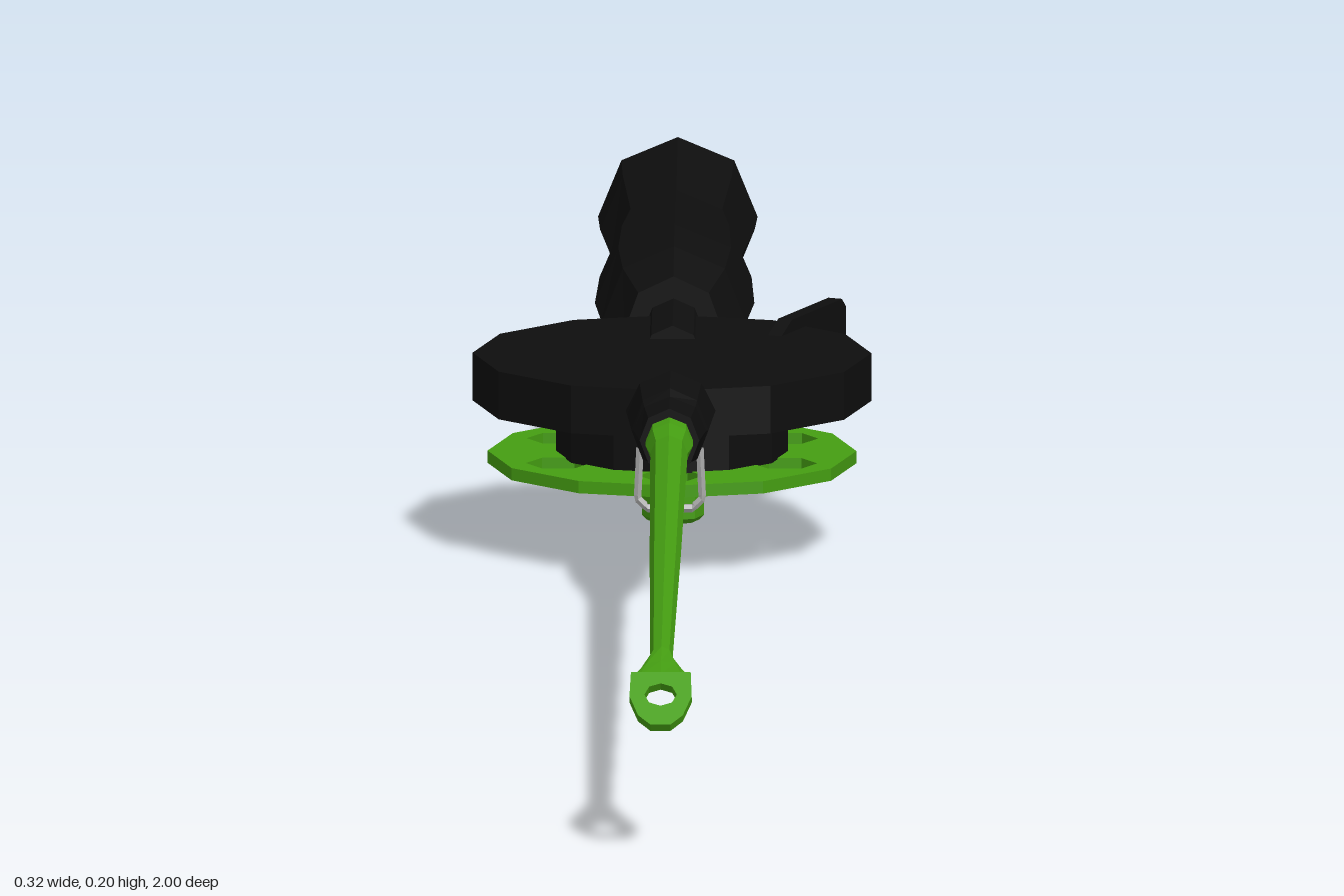
import * as THREE from 'three';

const paint = (name, color) => {
  const m = new THREE.MeshStandardMaterial({ color, flatShading: true });
  m.name = name;
  return m;
};

// Faceted tube along z from sections [z, centreY, radiusX, radiusY], z increasing
function loft(sections, sides) {
  const pos = [], idx = [];
  for (const [z, y, rx, ry] of sections)
    for (let i = 0; i < sides; i++) {
      const a = (i / sides) * Math.PI * 2;
      pos.push(Math.sin(a) * rx, y + Math.cos(a) * ry, z);
    }
  const last = sections.length - 1;
  for (let s = 0; s < last; s++)
    for (let i = 0; i < sides; i++) {
      const j = (i + 1) % sides, a = s * sides + i, b = s * sides + j;
      idx.push(a, a + sides, b, b, a + sides, b + sides);
    }
  for (let i = 1; i < sides - 1; i++) {
    const e = last * sides;
    idx.push(0, i, i + 1, e, e + i + 1, e + i);
  }
  const g = new THREE.BufferGeometry();
  g.setAttribute('position', new THREE.Float32BufferAttribute(pos, 3));
  g.setIndex(idx);
  const flat = g.toNonIndexed();
  flat.computeVertexNormals();
  return flat;
}

// Regular polygon outline
function polygon(r, sides, cx = 0, cy = 0) {
  return Array.from({ length: sides }, (_, i) => {
    const a = (i / sides) * Math.PI * 2;
    return new THREE.Vector2(cx + Math.cos(a) * r, cy + Math.sin(a) * r);
  });
}

// Flat plate lying in xz (shape y becomes z), with its top at y = 0
const plate = (shape, depth) =>
  new THREE.ExtrudeGeometry(shape, { depth, bevelEnabled: false }).rotateX(Math.PI / 2);

export function createModel() {
  const model = new THREE.Group();
  const black = paint('black plastic', 0x0e0e0e);
  const green = paint('green plastic', 0x459e12);
  const metal = paint('grey wire', 0xa8a8a8);
  const reelZ = -0.322;

  const add = (name, geometry, material, x = 0, y = 0, z = 0) => {
    const mesh = new THREE.Mesh(geometry, material);
    mesh.name = name;
    mesh.position.set(x, y, z);
    model.add(mesh);
    return mesh;
  };

  // Grip and the neck joining it to the reel
  add('handle', loft([
    [-1, 0.14, 0.058, 0.06], [-0.985, 0.14, 0.064, 0.065], [-0.93, 0.14, 0.062, 0.063],
    [-0.82, 0.14, 0.052, 0.054], [-0.73, 0.14, 0.061, 0.059], [-0.62, 0.14, 0.064, 0.064],
    [-0.54, 0.14, 0.058, 0.062], [-0.495, 0.14, 0.04, 0.046],
  ], 8), black);
  add('handleNeck', loft([[-0.51, 0.142, 0.024, 0.026], [-0.38, 0.142, 0.024, 0.026]], 8), black);

  // Reel housing: a shallow cup open at the bottom
  const cup = [[0, 0.148], [0.15, 0.148], [0.15, 0.118], [0.16, 0.118], [0.16, 0.157], [0, 0.157]]
    .map(([x, y]) => new THREE.Vector2(x, y));
  add('reelHousing', new THREE.LatheGeometry(cup, 12), black, 0, 0, reelZ);

  // Spool: upper flange, hub and pierced lower flange
  add('upperFlange', new THREE.CylinderGeometry(0.147, 0.147, 0.008, 12), green, 0, 0.124, reelZ);
  add('spoolHub', new THREE.CylinderGeometry(0.093, 0.093, 0.045, 12), black, 0, 0.0985, reelZ);
  const disc = new THREE.Shape(polygon(0.148, 12));
  for (let i = 0; i < 5; i++) {
    const a = -Math.PI / 2 + ((i + 1) / 6) * Math.PI * 2;
    disc.holes.push(new THREE.Path(polygon(0.026, 6, Math.cos(a) * 0.105, Math.sin(a) * 0.105)));
  }
  add('lowerFlange', plate(disc, 0.01), green, 0, 0.077, reelZ);
  add('spoolScrew', new THREE.CylinderGeometry(0.011, 0.011, 0.006, 8), black, 0, 0.066, reelZ);

  // Winding knob
  const knob = [[0, 0], [0.021, 0], [0.025, 0.004], [0.025, 0.062], [0.022, 0.068], [0, 0.068]]
    .map(([x, y]) => new THREE.Vector2(x, y));
  add('windingKnob', new THREE.LatheGeometry(knob, 8), green, 0, 0, -0.43);

  // Brake lever: upright tab with clipped corners, angled out behind the housing
  const tab = new THREE.Shape([
    [0, 0.118], [0.115, 0.118], [0.125, 0.126], [0.125, 0.159], [0.117, 0.167], [0.02, 0.167], [0, 0.157],
  ].map(([x, y]) => new THREE.Vector2(x, y)));
  const lever = add('brakeLever',
    new THREE.ExtrudeGeometry(tab, { depth: 0.012, bevelEnabled: false }).translate(0, 0, -0.006),
    black, 0.082, 0, -0.395);
  lever.rotation.y = Math.atan2(0.112, 0.05);

  // Socket holding the rod
  add('rodSocket', loft([
    [-0.2, 0.14, 0.034, 0.024], [-0.165, 0.14, 0.036, 0.03], [-0.15, 0.14, 0.035, 0.036],
    [-0.085, 0.14, 0.031, 0.034], [-0.075, 0.141, 0.029, 0.028], [-0.035, 0.141, 0.024, 0.026],
  ], 8), black);

  // Wire line guide under the socket
  const wire = new THREE.CurvePath();
  const bends = [[-0.024, 0.125], [-0.026, 0.083], [-0.018, 0.075], [0.018, 0.075], [0.026, 0.083], [0.024, 0.125]]
    .map(([x, y]) => new THREE.Vector3(x, y, 0));
  for (let i = 1; i < bends.length; i++) wire.add(new THREE.LineCurve3(bends[i - 1], bends[i]));
  add('lineGuide', new THREE.TubeGeometry(wire, 40, 0.0035, 6), metal, 0, 0, -0.09);

  // Rod with its collar, flattening into the tip
  add('rod', loft([
    [-0.05, 0.141, 0.019, 0.019], [-0.012, 0.141, 0.019, 0.019], [0.02, 0.141, 0.015, 0.015],
    [0.45, 0.14, 0.0125, 0.0125], [0.87, 0.139, 0.009, 0.009],
    [0.91, 0.138, 0.016, 0.006], [0.95, 0.137, 0.024, 0.004],
  ], 8), green);

  // Bent tip with the line eye
  const tip = new THREE.Shape([
    [-0.024, -0.002], [0.024, -0.002], [0.025, 0.026], [0.018, 0.048], [0.008, 0.059],
    [-0.008, 0.059], [-0.018, 0.048], [-0.025, 0.026],
  ].map(([x, y]) => new THREE.Vector2(x, y)));
  tip.holes.push(new THREE.Path(polygon(0.013, 8, 0, 0.024)));
  add('rodTip', plate(tip, 0.007), green, 0, 0.141, 0.95).rotation.x = 0.57;

  return model;
}
